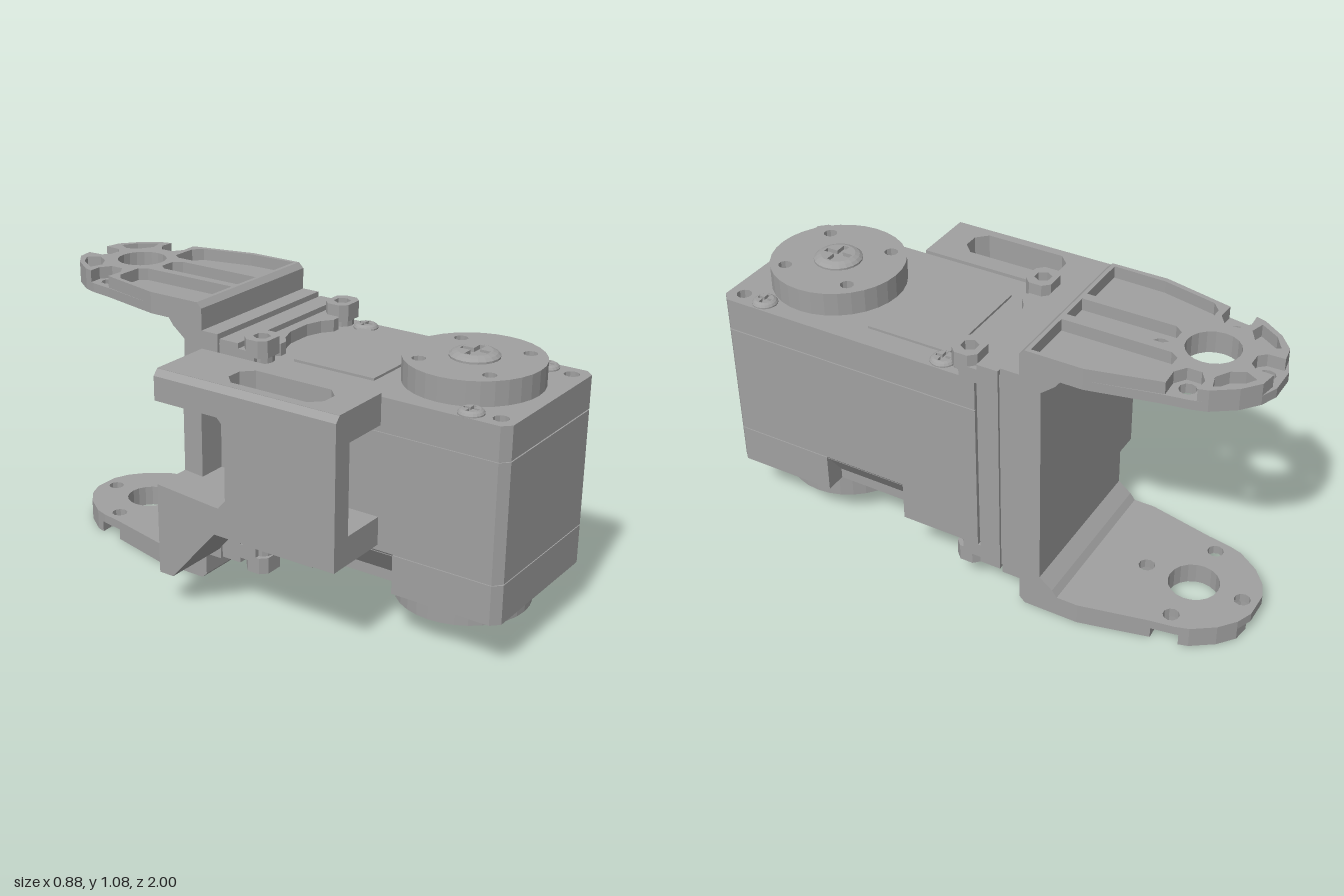
import * as THREE from 'three';

const grey = new THREE.MeshStandardMaterial({ color: 0xa0a0a0 });
grey.name = 'mid grey';

function add(parent, name, geometry) {
  const g = geometry.index ? geometry.toNonIndexed() : geometry;
  g.computeVertexNormals(); // crisp faceted shading
  const mesh = new THREE.Mesh(g, grey);
  mesh.name = name;
  parent.add(mesh);
  return mesh;
}

const vecs = (pts) => pts.map(([a, b]) => new THREE.Vector2(a, b));
const mirror = (half) => [...half, ...half.slice().reverse().map(([x, w]) => [-x, w])];
const circle = (x, y, r, n = 16) => Array.from({ length: n }, (_, i) => {
  const a = (i / n) * Math.PI * 2;
  return [x + r * Math.cos(a), y + r * Math.sin(a)];
});
// rectangle with cut corners
const cutRect = (x0, x1, y0, y1, c) => [[x0 + c, y0], [x1 - c, y0], [x1, y0 + c], [x1, y1 - c],
  [x1 - c, y1], [x0 + c, y1], [x0, y1 - c], [x0, y0 + c]];

function extrude(pts, holes, depth) {
  const shape = new THREE.Shape(vecs(pts));
  shape.holes = holes.map((h) => new THREE.Path(vecs(h)));
  return new THREE.ExtrudeGeometry(shape, { depth, bevelEnabled: false, curveSegments: 8 });
}
// plan outline in (x, -z), raised from y0 to y1
const plan = (pts, holes, y0, y1) =>
  extrude(pts, holes, y1 - y0).rotateX(-Math.PI / 2).translate(0, y0, 0);
// side profile in (z, y), run from x0 to x1
const side = (pts, x0, x1) => extrude(pts, [], x1 - x0).rotateY(-Math.PI / 2).translate(x1, 0, 0);
const box = (x0, x1, y0, y1, z0, z1) => new THREE.BoxGeometry(x1 - x0, y1 - y0, z1 - z0)
  .translate((x0 + x1) / 2, (y0 + y1) / 2, (z0 + z1) / 2);

// cross-head screw with a domed rim, base at the origin
function screw(parent, name, x, y, z, r, h) {
  const g = new THREE.Group();
  g.name = name;
  g.position.set(x, y, z);
  const a = r * 0.6, b = r * 0.13;
  const cross = [[b, b], [a, b], [a, -b], [b, -b], [b, -a], [-b, -a], [-b, -b], [-a, -b], [-a, b], [-b, b], [-b, a], [b, a]];
  add(g, 'screwBase', new THREE.CylinderGeometry(r, r, h * 0.5, 20).translate(0, h * 0.25, 0));
  add(g, 'screwShoulder', new THREE.LatheGeometry(vecs([[r, h * 0.5], [r * 0.88, h * 0.8], [r * 0.7, h]]), 20));
  add(g, 'screwFace', plan(circle(0, 0, r * 0.7, 20), [cross], h * 0.5, h));
  parent.add(g);
}

// motor case with a slanted relief along both lower edges
function motorCase(parent) {
  const outline = (i) => [[-0.31 + i, 0.05], [-0.31 + i, -0.97], [-0.28 + i, -1 + i],
    [0.28 - i, -1 + i], [0.31 - i, -0.97], [0.31 - i, 0.05]];
  const corners = [-0.25, 0.25].map((x) => circle(x, -0.94, 0.028, 10));
  add(parent, 'caseLid', plan(outline(0), corners, 0.779, 0.9));
  add(parent, 'caseMiddle', plan(outline(0), [], 0.34, 0.774));
  add(parent, 'caseSeam', plan(outline(0.005), [], 0.33, 0.78));
  add(parent, 'caseFrontFoot', plan([[-0.31, -0.59], [-0.31, -0.97], [-0.28, -1],
    [0.28, -1], [0.31, -0.97], [0.31, -0.59]], corners, 0.19, 0.336));
  add(parent, 'caseRearFoot', box(-0.31, 0.31, 0.19, 0.34, -0.05, 0.26));
  add(parent, 'caseRelief', extrude([[-0.23, 0.19], [0.23, 0.19], [0.23, 0.23], [0.31, 0.34],
    [-0.31, 0.34], [-0.23, 0.23]], [], 0.33).translate(0, 0, 0.26));
  add(parent, 'topPanel', box(-0.2, 0.22, 0.9, 0.909, 0.1, 0.43));
  [[-0.265, 0.84], [0.26, 0.84], [0.26, 0.1]].forEach(([x, z]) =>
    screw(parent, 'caseScrew', x, 0.893, z, 0.046, 0.024));
}

// output disc with four bolt holes
function horn(parent, name, y0, y1, bore) {
  const holes = [[-0.13, 0.56], [0.135, 0.57], [-0.135, 0.83], [0.13, 0.84]].map(([x, z]) => circle(x, -z, 0.025, 10));
  if (bore) holes.push(circle(0, -0.7, 0.1, 20));
  add(parent, name, plan(circle(0, -0.7, 0.245, 32), holes, y0, y1));
}

// arched clamp with two screw ears, top side
function clamp(parent) {
  const arch = [[0, 0.03], [0.05, 0.02], [0.11, 0], [0.15, -0.03], [0.18, -0.03], [0.2, -0.01], [0.31, -0.01], [0.31, 0.14]];
  add(parent, 'clampArch', plan(mirror(arch.slice(1)), [], 0.89, 0.945));
  for (const s of [-1, 1]) {
    const x = s * 0.25;
    add(parent, 'clampEar', plan(cutRect(x - 0.06, x + 0.06, -0.05, 0.05, 0.025),
      [circle(x, 0, 0.032, 6)], 0.925, 0.988));
    add(parent, 'clampEarPost', plan(circle(x, 0, 0.045, 12), [circle(x, 0, 0.032, 6)], 0.895, 0.93));
  }
}

// forked arm, upper side: thin floor under a ribbed layer
function forkArm(parent) {
  const tip = [[0.24, 0.79], [0.225, 0.84], [0.17, 0.92], [0.11, 0.97], [0.05, 0.995]];
  const bolts = [[0, 0.94], [-0.19, 0.755], [0.19, 0.755], [0, 0.57]];
  const bore = circle(0, 0.755, 0.093, 20);
  add(parent, 'armFloor', plan(mirror([[0.31, 0.24], [0.31, 0.45], [0.255, 0.7], ...tip]),
    [bore, ...bolts.map(([x, w]) => circle(x, w, 0.03, 10))], 1.0, 1.035));
  // ribs, with notches opening around the outer bolts
  const ribs = mirror([[0.31, 0.24], [0.31, 0.45], [0.25, 0.705], [0.185, 0.702], [0.145, 0.73],
    [0.145, 0.78], [0.185, 0.808], [0.235, 0.805], ...tip.slice(1, 4), [0.05, 0.98], [0.048, 0.92], [0.025, 0.895]]);
  const pocket = [[0.09, 0.255], [0.295, 0.255], [0.29, 0.45], [0.245, 0.65], [0.21, 0.68], [0.11, 0.68], [0.09, 0.65]];
  const web = [[0.1, 0.855], [0.15, 0.825], [0.2, 0.84], [0.155, 0.91], [0.1, 0.945], [0.075, 0.9]];
  const flip = (pts) => pts.map(([x, w]) => [-x, w]);
  const slot = [[-0.055, 0.255], [0.055, 0.255], [0.055, 0.6], [0.03, 0.63], [-0.03, 0.63], [-0.055, 0.6]];
  add(parent, 'armRibs', plan(ribs, [bore, pocket, flip(pocket), web, flip(web), slot], 1.035, 1.08));
  // corner joining the arm to the back plate
  add(parent, 'armCorner', side([[-0.22, 0.92], [-0.22, 1.06], [-0.24, 1.08], [-0.255, 1.08],
    [-0.255, 1.02], [-0.37, 1.001], [-0.35, 0.975], [-0.3, 0.935], [-0.3, 0.92]], -0.31, 0.31));
}

// hollow guard on the right side, with a sloped foot
function sideGuard(parent) {
  const g = new THREE.Group();
  g.name = 'sideGuard';
  const x0 = -0.575, x1 = -0.31;
  const slot = cutRect(-0.52, -0.38, -0.42, -0.03, 0.04);
  add(g, 'guardTop', plan([[x0, -0.53], [x1, -0.53], [x1, 0.22], [x0, 0.22]], [slot], 0.8, 0.89));
  add(g, 'guardTopEdge', plan([[x0 + 0.02, -0.53], [x1, -0.53], [x1, 0.22], [x0 + 0.02, 0.22]], [slot], 0.89, 0.913));
  add(g, 'guardEdgeBevel', extrude([[x0, 0.89], [x0 + 0.021, 0.89], [x0 + 0.021, 0.913]], [], 0.75).translate(0, 0, -0.22));
  add(g, 'guardFloor', plan([[x0, -0.53], [x1, -0.53], [x1, -0.02], [x0, -0.02]], [slot], 0.36, 0.465));
  add(g, 'guardFoot', side([[-0.22, 0.14], [-0.16, 0.14], [0.03, 0.36], [0.03, 0.465], [-0.22, 0.485]], x0, x1));
  add(g, 'guardOuterWall', side([[0.53, 0.465], [0.53, 0.8], [0.05, 0.8], [0.08, 0.77], [0.08, 0.5], [0.05, 0.465]], x0, x0 + 0.08));
  add(g, 'guardBackWall', box(-0.42, x1, 0.475, 0.8, -0.22, -0.14));
  parent.add(g);
}

export function createModel() {
  const model = new THREE.Group();
  model.name = 'servoJoint';
  const body = new THREE.Group();
  body.name = 'servo';
  body.position.x = 0.13;
  model.add(body);

  motorCase(body);
  horn(body, 'upperHorn', 0.9, 0.988, false);
  horn(body, 'lowerHorn', 0.097, 0.19, true);
  screw(body, 'hornScrew', 0, 0.98, 0.7, 0.088, 0.03);
  const under = new THREE.Group();
  under.name = 'lowerHornScrew';
  under.rotation.z = Math.PI;
  screw(under, 'hornScrew', 0, -0.17, 0.7, 0.075, 0.05);
  body.add(under);

  // stacked mounting plates behind the case
  add(body, 'mountSeam', box(-0.295, 0.295, 0.2, 0.88, -0.07, -0.04));
  add(body, 'mountPlate', box(-0.31, 0.31, 0.115, 0.965, -0.14, -0.06));
  add(body, 'mountGroove', box(-0.3, 0.3, 0.13, 0.945, -0.16, -0.13));
  add(body, 'mountBase', box(-0.31, 0.31, 0.105, 0.98, -0.221, -0.15));
  add(body, 'forkBack', box(-0.31, 0.31, 0.15, 0.93, -0.3, -0.22));

  // clamp and fork arm on top, then turned over for the underside
  for (const turned of [false, true]) {
    const half = new THREE.Group();
    half.name = turned ? 'lowerFork' : 'upperFork';
    if (turned) {
      half.rotation.z = Math.PI;
      half.position.y = 1.08;
    }
    clamp(half);
    forkArm(half);
    body.add(half);
  }
  sideGuard(body);
  return model;
}
